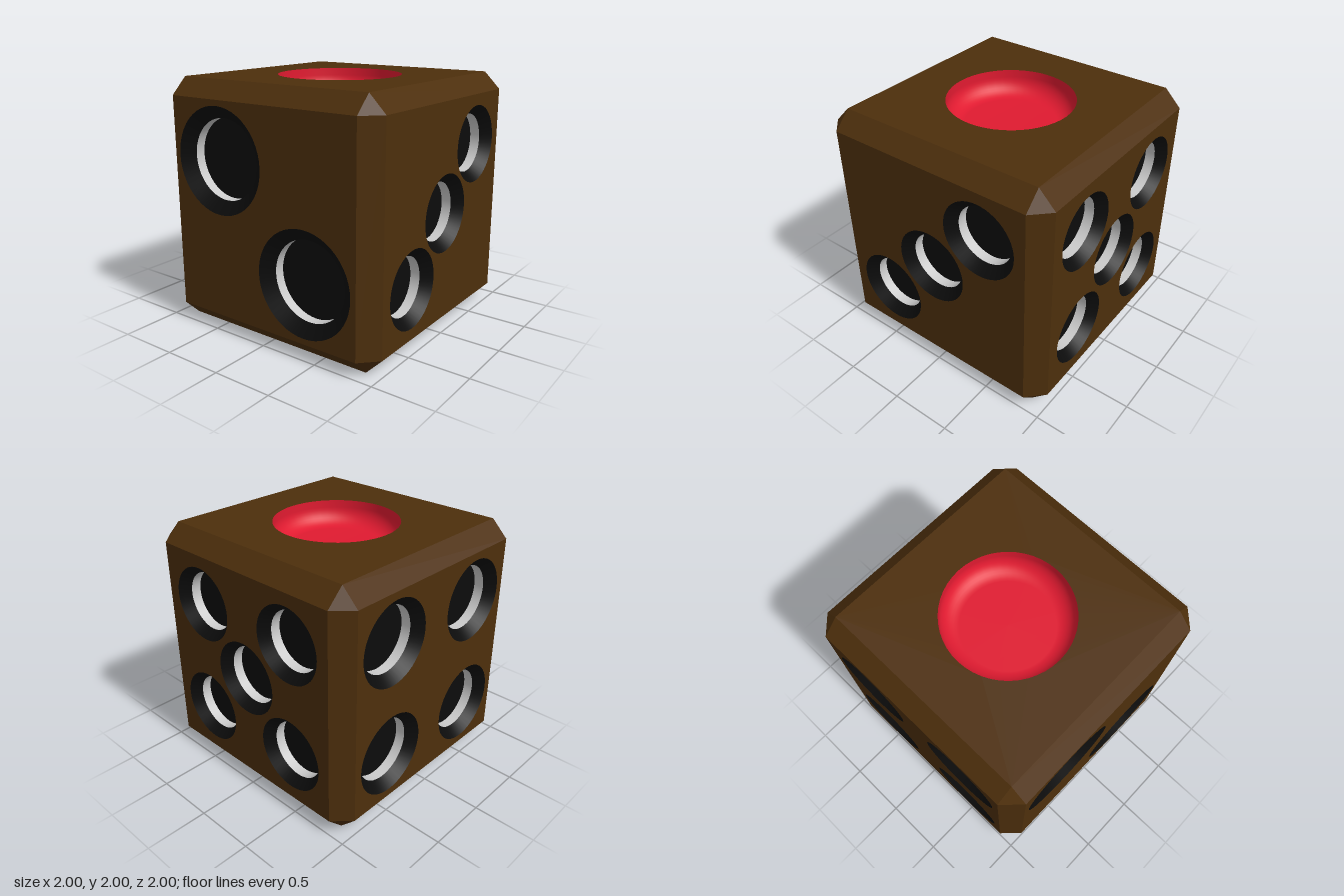
import * as THREE from 'three';
import { mergeGeometries } from 'three/addons/utils/BufferGeometryUtils.js';

const FLAT = 0.865; // half width of each flat face; the rest is chamfer
const SEG = 48;
const mat = (color) => new THREE.MeshStandardMaterial({ color });

export function createModel() {
  const brown = mat(0x4d2f0c), black = mat(0x0c0c0c), white = mat(0xffffff), red = mat(0xe01a30);
  const die = new THREE.Group();
  die.name = 'die';
  const cube = new THREE.Group();
  cube.name = 'cube';
  cube.position.y = 1;
  die.add(cube);

  const add = (parent, name, geometry, material) => {
    const mesh = new THREE.Mesh(geometry, material);
    mesh.name = name;
    parent.add(mesh);
    return mesh;
  };

  // Surface of revolution about z; profile runs from the rim inwards
  const turned = (points) =>
    new THREE.LatheGeometry(points.map(([r, z]) => new THREE.Vector2(r, z)), SEG).rotateX(Math.PI / 2);

  // Round recess: dark sloped rim, white straight wall, dark floor
  const makePip = (outer, inner, rimDepth, depth) => {
    const pip = new THREE.Group();
    pip.name = 'pip';
    if (rimDepth > 0) add(pip, 'pipRim', turned([[outer, 0], [inner, -rimDepth]]), black);
    add(pip, 'pipWall', turned([[inner, -rimDepth], [inner, -depth]]), white);
    add(pip, 'pipFloor', new THREE.CircleGeometry(inner, SEG), black).position.z = -depth;
    return pip;
  };

  // Large red dish with a rounded wall
  const makeDish = () => {
    const profile = [[0.5, 0]];
    for (let i = 0; i <= 10; i++) {
      const a = (i / 10) * Math.PI / 2;
      profile.push([0.36 + 0.14 * Math.cos(a), -0.06 - 0.14 * Math.sin(a)]);
    }
    profile.push([0, -0.2]);
    const dish = new THREE.Group();
    dish.name = 'dish';
    add(dish, 'dishBowl', turned(profile), red);
    return dish;
  };

  const corners = (a, b) => [[-a, -b], [-a, b], [a, -b], [a, b]];
  const H = Math.PI / 2;
  const faces = [
    { name: 'topFace', rot: [-H, 0], spots: [[0, 0]], outer: 0.5, make: makeDish },
    { name: 'rightViewFace', rot: [0, H], spots: [[0, 0], ...corners(0.465, 0.465)], outer: 0.3, inner: 0.235 },
    { name: 'leftViewFace', rot: [0, -H], spots: [[-0.4, 0.4], [0.4, -0.4]], outer: 0.42, inner: 0.32 },
    { name: 'frontFace', rot: [0, 0], spots: [[-0.465, -0.465], [0, 0], [0.465, 0.465]], outer: 0.31, inner: 0.235 },
    { name: 'backFace', rot: [0, Math.PI], spots: corners(0.47, 0.47), outer: 0.335, inner: 0.26 },
    { name: 'bottomFace', rot: [H, 0], spots: [...corners(0.43, 0.49), [-0.43, 0], [0.43, 0]],
      outer: 0.22, inner: 0.22, rim: 0, depth: 0.11 },
  ];
  faces[1].name = 'fivePipFace';
  faces[2].name = 'twoPipFace';

  // Flat faces, each pierced where its recesses sit
  for (const { name, rot, spots, outer, inner, rim = 0.08, depth = 0.16, make } of faces) {
    const face = new THREE.Group();
    face.name = name;
    face.rotation.set(rot[0], rot[1], 0);
    const shape = new THREE.Shape([[-1, -1], [1, -1], [1, 1], [-1, 1]]
      .map(([x, y]) => new THREE.Vector2(x * FLAT, y * FLAT)));
    for (const [x, y] of spots) {
      shape.holes.push(new THREE.Path().absarc(x, y, outer, 0, Math.PI * 2, true));
      const recess = make ? make() : makePip(outer, inner, rim, depth);
      recess.position.set(x, y, 1);
      face.add(recess);
    }
    add(face, 'facePanel', new THREE.ShapeGeometry(shape, SEG / 2), brown).position.z = 1;
    cube.add(face);
  }

  // Twelve chamfered edges: four strips around each axis
  const strips = [];
  const mid = (1 + FLAT) / 2;
  for (let axis = 0; axis < 3; axis++) {
    for (let k = 0; k < 4; k++) {
      const strip = new THREE.PlaneGeometry((1 - FLAT) * Math.SQRT2, FLAT * 2);
      strip.translate(0, 0, mid * Math.SQRT2).rotateY(Math.PI / 4 + k * H);
      if (axis === 1) strip.rotateX(H);
      if (axis === 2) strip.rotateZ(H);
      strips.push(strip);
    }
  }
  add(cube, 'edgeChamfers', mergeGeometries(strips), brown);

  // Eight corner triangles
  const tri = [];
  for (const sx of [-1, 1]) for (const sy of [-1, 1]) for (const sz of [-1, 1]) {
    const a = [sx, sy * FLAT, sz * FLAT], b = [sx * FLAT, sy, sz * FLAT], c = [sx * FLAT, sy * FLAT, sz];
    tri.push(...a, ...(sx * sy * sz > 0 ? [...b, ...c] : [...c, ...b]));
  }
  const cornerGeometry = new THREE.BufferGeometry();
  cornerGeometry.setAttribute('position', new THREE.Float32BufferAttribute(tri, 3));
  cornerGeometry.computeVertexNormals();
  add(cube, 'cornerChamfers', cornerGeometry, brown);

  return die;
}
